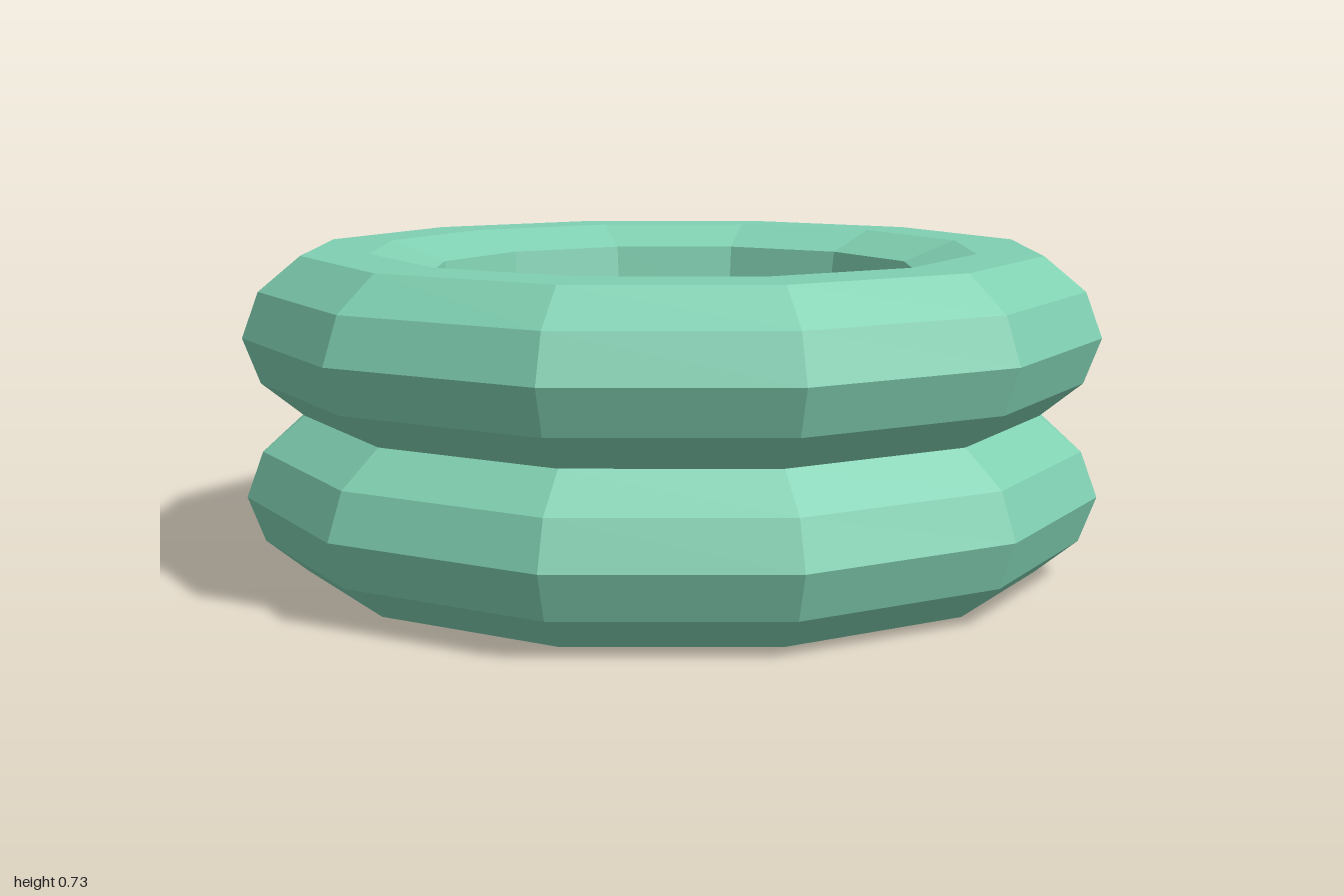
import * as THREE from 'three';

const SIDES = 12;
const HOLE_SHIFT = -0.02; // the hole sits slightly towards the back
const CENTRE_Z = 0.005;

function material(color, side = THREE.FrontSide) {
  const m = new THREE.MeshStandardMaterial({ color, side });
  m.flatShading = true;
  return m;
}

// Ten-sided tube section as [radius, height from its middle], from the outside up and around.
// The inner side sags, so its lower corner lies almost level with the underside.
const section = [
  [0.993, 0], [0.955, 0.103], [0.86, 0.181], [0.71, 0.181], [0.578, 0.132],
  [0.552, -0.036], [0.576, -0.17], [0.71, -0.187], [0.86, -0.181], [0.955, -0.103],
  [0.993, 0],
];

function ringGeometry() {
  const points = section.map(([r, y]) => new THREE.Vector2(r, y));
  const geo = new THREE.LatheGeometry(points, SIDES);
  const pos = geo.attributes.position;
  for (let i = 0; i < pos.count; i++) {
    const r = Math.hypot(pos.getX(i), pos.getZ(i));
    if (r < 0.65) pos.setZ(i, pos.getZ(i) + HOLE_SHIFT);
    else if (r < 0.75) pos.setZ(i, pos.getZ(i) + HOLE_SHIFT / 2);
  }
  geo.computeVertexNormals();
  return geo;
}

export function createModel() {
  const pool = new THREE.Group();
  pool.name = 'paddlingPool';
  const green = 0x80d0b2;

  // Two stacked air rings
  const ringGeo = ringGeometry();
  const ringMat = material(green);
  [['lowerRing', 0.187], ['upperRing', 0.549]].forEach(([name, y]) => {
    const ring = new THREE.Mesh(ringGeo, ringMat);
    ring.name = name;
    ring.position.set(0, y, CENTRE_Z);
    pool.add(ring);
  });

  // Floor sheet, closing the hole of the lower ring
  const floor = new THREE.Mesh(
    new THREE.CircleGeometry(0.576, SIDES).rotateX(-Math.PI / 2),
    material(green, THREE.DoubleSide)
  );
  floor.name = 'floor';
  floor.position.set(0, 0.017, CENTRE_Z + HOLE_SHIFT);
  pool.add(floor);

  // Air valve on the back: flange, neck and cap along the outward direction
  const profile = [[0.04, -0.02], [0.038, 0.016], [0.028, 0.024], [0.03, 0.036], [0.045, 0.043], [0.04, 0.055], [0, 0.056]];
  const valve = new THREE.Mesh(
    new THREE.LatheGeometry(profile.map(([r, y]) => new THREE.Vector2(r, y)), 8),
    material(0xbab2aa)
  );
  valve.name = 'airValve';
  const outward = new THREE.Vector3(-Math.sin(Math.PI / 12), 0.28, -Math.cos(Math.PI / 12)).normalize();
  valve.quaternion.setFromUnitVectors(new THREE.Vector3(0, 1, 0), outward);
  valve.position.set(-0.13, 0.6, -0.934);
  pool.add(valve);

  return pool;
}
